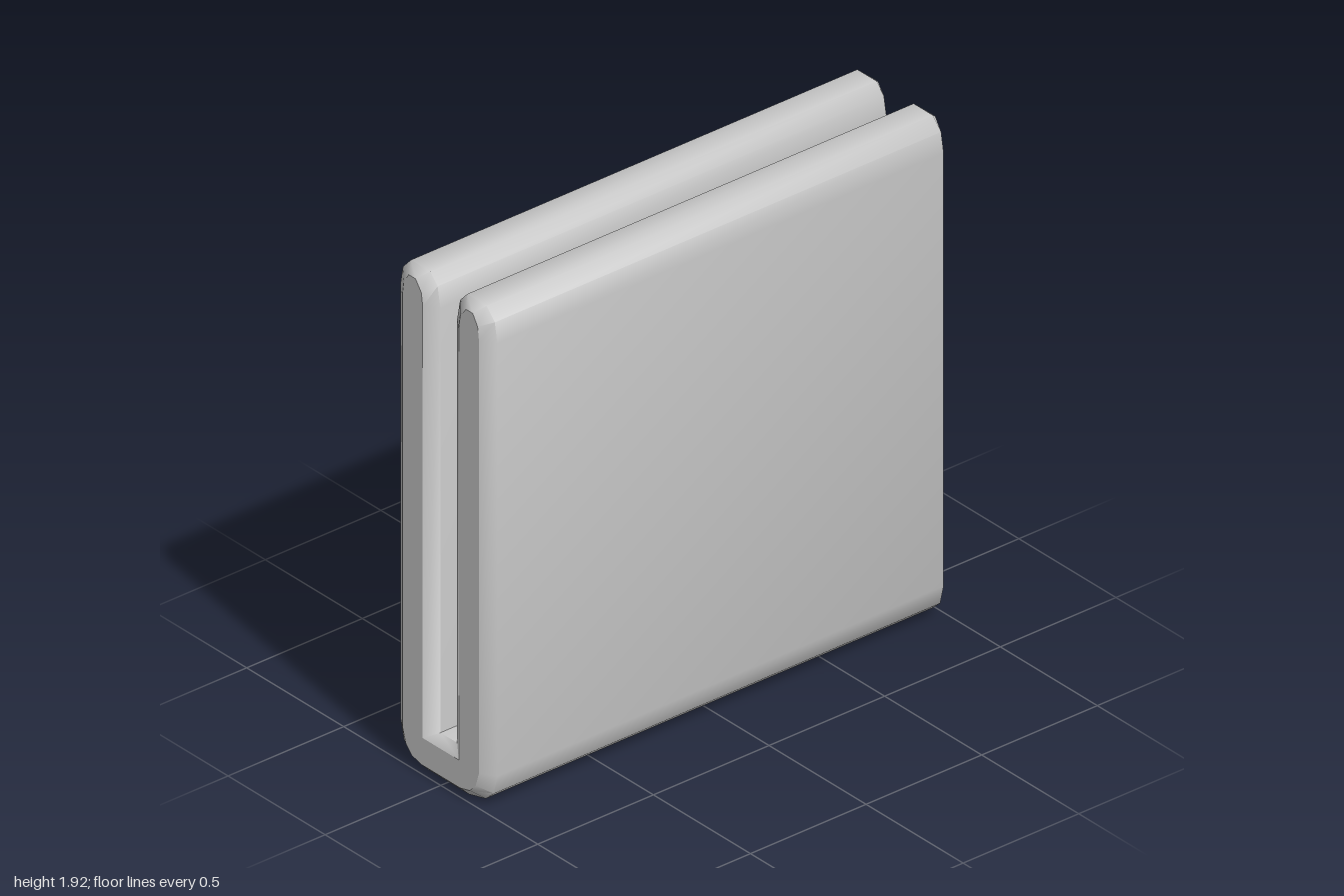
import * as THREE from 'three';
import { toCreasedNormals } from 'three/addons/utils/BufferGeometryUtils.js';

// Half of the U profile, from the underside up the outer wall, over the rim and
// down to the floor: [z, y] of the full section, then [z, y] of the inset end face
const HALF = [
  [0.105, 0, 0.1, 0.035],
  [0.19, 0.022, 0.15, 0.048],
  [0.232, 0.06, 0.18, 0.08],
  [0.25, 0.135, 0.197, 0.135],
  [0.25, 1.8, 0.197, 1.8],
  [0.237, 1.875, 0.19, 1.85],
  [0.195, 1.92, 0.165, 1.89],
  [0.095, 1.92, 0.13, 1.89],
  [0.058, 1.88, 0.1, 1.85],
  [0.043, 1.8, 0.093, 1.8],
  [0.043, 0.17, 0.093, 0.14],
];
const PROFILE = [...HALF, ...HALF.map(([z, y, ez, ey]) => [-z, y, -ez, ey]).reverse()];

function geometryFrom(positions, index) {
  const geometry = new THREE.BufferGeometry();
  geometry.setAttribute('position', new THREE.Float32BufferAttribute(positions, 3));
  geometry.setIndex(index);
  return geometry;
}

// Smooth channel walls with bevels running in to both ends
function wallGeometry() {
  const rings = [[-1, true], [-0.965, false], [0.965, false], [1, true]];
  const n = PROFILE.length;
  const positions = [];
  const index = [];
  for (const [x, inset] of rings) {
    for (const [z, y, ez, ey] of PROFILE) positions.push(x, inset ? ey : y, inset ? ez : z);
  }
  for (let i = 0; i < rings.length - 1; i++) {
    for (let j = 0; j < n; j++) {
      const k = (j + 1) % n;
      const a = i * n + j, b = i * n + k, c = b + n, d = a + n;
      index.push(a, d, c, a, c, b);
    }
  }
  return toCreasedNormals(geometryFrom(positions, index), 1.05);
}

// Flat U-shaped end face; side is -1 or 1
function endGeometry(side) {
  const outline = PROFILE.map(([, , z, y]) => new THREE.Vector2(z, y));
  const positions = outline.flatMap((p) => [side, p.y, p.x]);
  const faces = THREE.ShapeUtils.triangulateShape(outline, []);
  const index = faces.flatMap(([a, b, c]) => (side < 0 ? [a, b, c] : [a, c, b]));
  const geometry = geometryFrom(positions, index);
  geometry.computeVertexNormals();
  return geometry;
}

export function createModel() {
  const group = new THREE.Group();
  group.name = 'channelHolder';
  const material = new THREE.MeshStandardMaterial({ color: 0xcccccc });
  const add = (name, geometry) => {
    const mesh = new THREE.Mesh(geometry, material);
    mesh.name = name;
    group.add(mesh);
  };
  add('channelWalls', wallGeometry());
  add('leftEndFace', endGeometry(1));
  add('rightEndFace', endGeometry(-1));
  return group;
}
